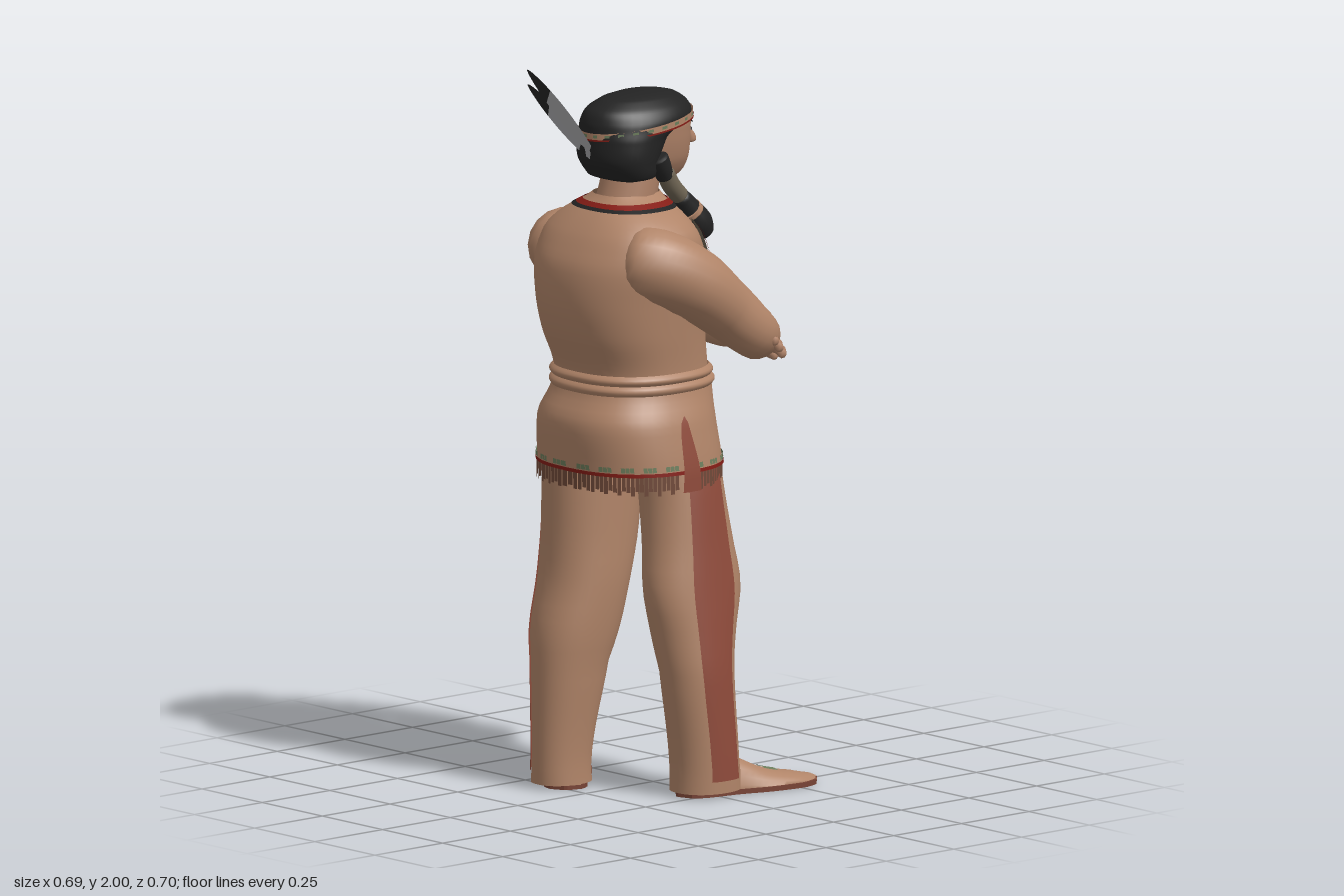
import * as THREE from 'three';
import { mergeVertices, mergeGeometries } from 'three/addons/utils/BufferGeometryUtils.js';

const material = (name, color, double) => {
  const m = new THREE.MeshStandardMaterial({ color });
  m.name = name;
  if (double) m.side = THREE.DoubleSide;
  return m;
};
const M = {
  skin: material('skin', 0xac8066), buckskin: material('buckskin', 0xb08468, true),
  stripe: material('russet stripe', 0x8f4b3b, true), hair: material('black hair', 0x232323, true),
  sole: material('dark sole', 0x784335), red: material('red beads', 0x851d16, true),
  vest: material('olive bone', 0x6e6453, true), green: material('green beads', 0x6c7d5c, true),
  feather: material('feather grey', 0xa2a2a4, true), fringe: material('fringe brown', 0x704a3a, true),
};
const V = (x, y, z) => new THREE.Vector3(x, y, z);
const val = (a, v) => (typeof a === 'function' ? a(v) : a);

// Smooth grid from f(u, v); matching edges are welded
function grid(f, nu, nv) {
  const pos = [], idx = [];
  for (let j = 0; j <= nv; j++) for (let i = 0; i <= nu; i++) pos.push(...f(i / nu, j / nv).toArray());
  for (let j = 0; j < nv; j++) for (let i = 0; i < nu; i++) {
    const a = j * (nu + 1) + i, b = a + nu + 1;
    idx.push(a, b, b + 1, a, b + 1, a + 1);
  }
  let g = new THREE.BufferGeometry();
  g.setAttribute('position', new THREE.Float32BufferAttribute(pos, 3));
  g.setIndex(idx);
  g = mergeVertices(g, 1e-5);
  g.computeVertexNormals();
  return g;
}

// Smooth interpolation of rows by their first number
function sample(rows, y) {
  const n = rows.length - 1;
  let i = 0;
  while (i < n - 1 && y > rows[i + 1][0]) i++;
  const t = THREE.MathUtils.clamp((y - rows[i][0]) / (rows[i + 1][0] - rows[i][0]), 0, 1);
  const [p, a, b, q] = [rows[Math.max(i - 1, 0)], rows[i], rows[i + 1], rows[Math.min(i + 2, n)]];
  return a.map((_, k) => a[k] + 0.5 * t * (b[k] - p[k] + t * (2 * p[k] - 5 * a[k] + 4 * b[k] - q[k] + t * (3 * (a[k] - b[k]) + q[k] - p[k]))));
}

// Upright body surface from rows of [y, x0, x1, z0, z1]
const surface = (rows, e = 1) => (y, a, off = 0) => {
  const [, x0, x1, z0, z1] = sample(rows, y);
  const w = (s) => Math.sign(s) * Math.abs(s) ** e;
  return V((x0 + x1) / 2 + ((x1 - x0) / 2 + off) * w(Math.cos(a)), y, (z0 + z1) / 2 + ((z1 - z0) / 2 + off) * w(Math.sin(a)));
};
function patch(s, y0, y1, a0 = 0, a1 = Math.PI * 2, off = 0, nu = 36, nv = 24) {
  return grid((u, v) => s(y0 + (y1 - y0) * v, THREE.MathUtils.lerp(val(a0, v), val(a1, v), u), val(off, v)), nu, nv);
}

// Rounded tube through points of [x, y, z, radius]
function limb(pts, nu = 14, nv = 30) {
  const curve = new THREE.CatmullRomCurve3(pts.map((p) => V(p[0], p[1], p[2])));
  const radii = pts.map((p, i) => [i / (pts.length - 1), p[3]]);
  return grid((u, v) => {
    const t = curve.getTangent(v), n = V(0, 1, 0).cross(t).normalize(), b = t.clone().cross(n);
    const r = sample(radii, v)[1] * Math.min(1, Math.sqrt(Math.max(0, Math.sin(Math.PI * v)) * 4));
    const a = -u * Math.PI * 2;
    return curve.getPoint(v).addScaledVector(n, r * Math.cos(a)).addScaledVector(b, r * Math.sin(a));
  }, nu, nv);
}

function hand(pos, target, up, side) {
  const g = new THREE.Group();
  const palm = new THREE.Mesh(new THREE.SphereGeometry(1, 16, 12), M.skin);
  palm.scale.set(0.048, 0.027, 0.07);
  palm.position.z = 0.05;
  g.add(palm);
  for (let i = 0; i < 4; i++) {
    const x = -0.036 + i * 0.024, len = 0.08 + 0.02 * Math.sin((i + 0.6) * 0.8);
    g.add(new THREE.Mesh(limb([[x * 0.8, 0, 0.07, 0.014], [x, 0.005, 0.11, 0.015], [x, -0.003, 0.09 + len * 0.7, 0.014], [x * 0.9, -0.02, 0.1 + len, 0.011]], 8, 12), M.skin));
  }
  g.add(new THREE.Mesh(limb([[side * 0.02, -0.005, 0.02, 0.016], [side * 0.05, 0, 0.06, 0.015], [side * 0.055, -0.01, 0.11, 0.01]], 8, 12), M.skin));
  g.position.copy(pos);
  g.scale.setScalar(1.08);
  g.up.copy(up);
  g.lookAt(target);
  return g;
}

function foot(heel, toe) {
  const g = new THREE.Group(), L = heel.distanceTo(toe);
  const rows = [[0, 0.004, 0.04], [0.03, 0.038, 0.08], [0.13, 0.058, 0.11], [0.38, 0.06, 0.1], [0.6, 0.072, 0.058], [0.84, 0.069, 0.036], [0.96, 0.042, 0.024], [1, 0.008, 0.016]];
  const top = (z, a, off = 0) => {
    const [, w, h] = sample(rows, z);
    return V((w + off) * Math.cos(a), Math.max(0.012, (h + off) * Math.sin(a)), z * L);
  };
  g.add(new THREE.Mesh(grid((u, v) => top(v, -u * Math.PI * 2), 24, 24), M.buckskin));
  g.add(new THREE.Mesh(grid((u, v) => top(0.6 + 0.1 * v, 1.9 - 0.66 * u, 0.003), 6, 6), M.green));
  const outline = [];
  for (let i = 0; i <= 20; i++) outline.push(new THREE.Vector2(sample(rows, i / 20)[1] + 0.001, i / 20 * L));
  const mirrored = outline.map((p) => new THREE.Vector2(-p.x, p.y)).reverse();
  const sole = new THREE.ExtrudeGeometry(new THREE.Shape([...outline, ...mirrored]), { depth: 0.014, bevelEnabled: false });
  sole.rotateX(Math.PI / 2).translate(0, 0.014, 0);
  g.add(new THREE.Mesh(sole, M.sole));
  g.position.copy(heel);
  g.lookAt(toe);
  return g;
}

export function createModel() {
  const model = new THREE.Group();
  const add = (name, geo, mat) => {
    const m = geo.isObject3D ? geo : new THREE.Mesh(geo, mat);
    m.name = name;
    model.add(m);
    return m;
  };
  const H = Math.PI / 2;

  // Legs with side stripes, and feet
  const rightLeg = surface([[0.015, -0.105, 0.1, 0.13, 0.31], [0.1, -0.105, 0.09, 0.13, 0.31], [0.35, -0.135, 0.08, 0.12, 0.305], [0.45, -0.15, 0.1, 0.095, 0.295], [0.58, -0.17, 0.135, 0.08, 0.28], [0.7, -0.155, 0.12, 0.06, 0.265], [0.87, -0.14, 0.1, 0.025, 0.245], [1.02, -0.14, 0.1, 0, 0.22]], 0.92);
  const leftLeg = surface([[0.015, -0.315, -0.14, -0.2, -0.05], [0.1, -0.315, -0.14, -0.195, -0.05], [0.35, -0.315, -0.09, -0.212, -0.025], [0.45, -0.31, -0.05, -0.23, -0.01], [0.58, -0.28, -0.02, -0.238, 0], [0.7, -0.27, 0.01, -0.238, 0], [0.87, -0.27, 0.03, -0.235, 0], [1.02, -0.27, 0.04, -0.22, 0]], 0.92);
  add('rightLeg', patch(rightLeg, 0.015, 1.02), M.buckskin);
  add('leftLeg', patch(leftLeg, 0.015, 1.02), M.buckskin);
  add('rightLegStripe', patch(rightLeg, 0.05, 1, 1.1, 2.02, 0.004, 10), M.stripe);
  add('leftLegStripe', patch(leftLeg, 0.05, 1, (v) => -2.75 + 0.7 * v, (v) => -1.8 + 0.7 * v, 0.004, 10), M.stripe);
  add('rightFoot', foot(V(-0.09, 0, 0.2), V(0.345, 0, 0.285)));
  add('leftFoot', foot(V(-0.26, 0, -0.07), V(-0.025, 0, -0.34)));

  // Tunic: torso, skirt, side slits, hem and fringe
  const torso = surface([[1.14, -0.28, 0.125, -0.205, 0.205], [1.2, -0.285, 0.115, -0.205, 0.205], [1.3, -0.325, 0.105, -0.215, 0.215], [1.4, -0.345, 0.11, -0.225, 0.225], [1.5, -0.337, 0.095, -0.235, 0.235], [1.58, -0.295, 0.06, -0.225, 0.225], [1.63, -0.25, 0.025, -0.165, 0.17], [1.68, -0.195, -0.01, -0.08, 0.085]], 0.85);
  add('torso', patch(torso, 1.14, 1.68, 0, H * 4, 0, 48, 30), M.buckskin);
  const skirt = surface([[0.92, -0.322, 0.14, -0.252, 0.262], [1.06, -0.33, 0.128, -0.235, 0.24], [1.14, -0.292, 0.13, -0.207, 0.21], [1.19, -0.285, 0.12, -0.205, 0.205]], 0.85);
  add('skirt', patch(skirt, 0.925, 1.18, 0, H * 4, 0, 48, 12), M.buckskin);
  for (const s of [-1, 1]) {
    add('sideSlit', patch(skirt, 0.87, 1.08, (v) => s * H - 0.1 * Math.sqrt(1 - v), (v) => s * H + 0.1 * Math.sqrt(1 - v), 0.006, 4, 12), M.stripe);
  }
  add('hemBeads', patch(skirt, 0.921, 0.931, 0, H * 4, 0.004, 48, 1), M.red);
  const beads = [], strands = [];
  for (let i = 0; i < 110; i++) {
    const a = (i / 110) * H * 4;
    if (Math.abs(Math.sin(a)) > 0.994) continue;
    if (i % 5 < 3) beads.push(patch(skirt, 0.934, 0.948, a, a + 0.05, 0.004, 1, 1));
    strands.push(patch(skirt, 0.867 + 0.016 * Math.abs(Math.sin(i * 7.3)), 0.926, a, a + 0.047, 0.001, 1, 1));
  }
  add('hemPattern', mergeGeometries(beads), M.green);
  add('hemFringe', mergeGeometries(strands), M.fringe);

  // Sash: two rolls and a hanging end
  for (const y of [1.138, 1.164]) add('sash', patch(skirt, y, y + 0.03, 0, H * 4, (v) => 0.011 * Math.sin(v * Math.PI), 48, 6), M.buckskin);
  add('sashEnd', patch(skirt, 0.88, 1.17, -0.86, -0.6, (v) => 0.012 + 0.012 * Math.sin(v * 3), 8, 8), M.buckskin);
  add('sashEndBack', patch(skirt, 0.93, 1.17, -1.02, -0.8, 0.008, 6, 8), M.buckskin);

  // Breastplate with red edging and central lacing
  add('breastplate', patch(torso, 1.34, 1.6, -0.72, 0.72, 0.008, 24, 10), M.vest);
  for (const a of [-0.68, -0.14, 0.1, 0.64]) add('breastplateEdging', patch(torso, 1.34, 1.59, a, a + 0.04, 0.012, 2, 10), M.red);
  for (let i = 0; i < 10; i++) add('lacing', patch(torso, 1.36 + i * 0.022, 1.37 + i * 0.022, -0.09, 0.09, 0.012, 4, 1), M.feather);
  for (const a of [-0.58, -0.48, -0.38, -0.28, 0.26, 0.36, 0.46, 0.56]) add('breastplateSeam', patch(torso, 1.34, 1.59, a, a + 0.02, 0.011, 1, 10), M.fringe);

  // Folded arms
  add('rightArm', limb([[-0.22, 1.52, 0.1, 0.095], [-0.16, 1.505, 0.175, 0.107], [-0.06, 1.45, 0.225, 0.1], [0.05, 1.365, 0.24, 0.086], [0.165, 1.275, 0.24, 0.07], [0.2, 1.29, 0.14, 0.062], [0.185, 1.34, 0.01, 0.054], [0.15, 1.4, -0.12, 0.042]], 18, 54), M.buckskin);
  add('leftArm', limb([[-0.22, 1.52, -0.1, 0.095], [-0.16, 1.505, -0.18, 0.107], [-0.06, 1.45, -0.22, 0.1], [0.03, 1.39, -0.23, 0.084], [0.115, 1.33, -0.235, 0.07], [0.175, 1.295, -0.14, 0.062], [0.215, 1.265, 0, 0.057], [0.235, 1.245, 0.13, 0.05]], 18, 54), M.buckskin);
  add('rightHand', hand(V(0.15, 1.405, -0.105), V(0.085, 1.455, -0.3), V(0.5, 1, 0), 1));
  add('leftHand', hand(V(0.235, 1.245, 0.12), V(0.19, 1.265, 0.32), V(1, 0.7, 0), 1));

  // Neck and necklace
  add('neck', limb([[-0.13, 1.58, 0.005, 0.085], [-0.1, 1.68, 0.007, 0.083], [-0.07, 1.8, 0.008, 0.08]], 18, 16), M.skin);
  add('necklace', patch(torso, 1.651, 1.662, 0, H * 4, 0.005, 36, 2), M.red);
  add('necklaceCord', patch(torso, 1.643, 1.651, 0, H * 4, 0.004, 36, 2), M.hair);

  // Head and face
  const head = surface([[1.69, -0.1, 0.01, -0.01, 0.026], [1.7, -0.13, 0.055, -0.035, 0.051], [1.725, -0.15, 0.088, -0.055, 0.071], [1.76, -0.17, 0.1, -0.075, 0.091], [1.8, -0.18, 0.103, -0.085, 0.101], [1.84, -0.19, 0.103, -0.09, 0.106], [1.88, -0.2, 0.1, -0.09, 0.106], [1.93, -0.18, 0.05, -0.07, 0.086]], 0.92);
  add('head', patch(head, 1.69, 1.93), M.skin);
  add('nose', limb([[0.088, 1.862, 0.008, 0.009], [0.108, 1.83, 0.008, 0.013], [0.127, 1.8, 0.008, 0.018], [0.129, 1.787, 0.008, 0.016]], 12, 16), M.skin);
  for (const s of [-1, 1]) {
    const span = (y0, y1, c, w, off, mat, name) => add(name, patch(head, y0, y1, (v) => s * c - w * Math.sin(0.3 + v * 2.5), (v) => s * c + w * Math.sin(0.3 + v * 2.5), off, 8, 4), mat);
    span(1.831, 1.842, 0.42, 0.11, 0.003, M.feather, 'eye');
    span(1.831, 1.843, 0.42, 0.05, 0.004, M.hair, 'pupil');
    span(1.855, 1.86, 0.43, 0.16, 0.004, M.hair, 'eyebrow');
  }
  add('mouth', patch(head, 1.749, 1.758, (v) => -0.25 * Math.sin(0.3 + v * 2.5), (v) => 0.25 * Math.sin(0.3 + v * 2.5), 0.004, 8, 4), M.stripe);

  // Hair, headband and braids
  const hair = surface([[1.715, -0.16, -0.09, -0.05, 0.066], [1.73, -0.205, -0.045, -0.1, 0.116], [1.78, -0.24, -0.03, -0.115, 0.131], [1.84, -0.246, 0.005, -0.118, 0.134], [1.865, -0.245, 0.05, -0.118, 0.134], [1.89, -0.243, 0.1, -0.117, 0.133], [1.92, -0.228, 0.094, -0.1, 0.116], [1.945, -0.185, 0.06, -0.068, 0.084], [1.957, -0.13, 0.01, -0.035, 0.05], [1.961, -0.06, -0.06, 0.008, 0.008]]);
  add('hair', patch(hair, 1.715, 1.961, 0, H * 4, 0, 40, 48), M.hair);
  const level = surface([[1.84, -0.246, 0.104, -0.119, 0.135], [1.9, -0.246, 0.104, -0.119, 0.135]]);
  const band = (y, a, off) => level(y, a, off).add(V(0, 0.021 * Math.cos(a), 0));
  add('headband', patch(band, 1.862, 1.884, 0, H * 4, 0.003, 40, 1), M.buckskin);
  add('headbandLine', patch(band, 1.862, 1.867, 0, H * 4, 0.005, 40, 1), M.red);
  for (let i = 0; i < 24; i++) add('headbandBead', patch(band, 1.872, 1.88, i * 0.2618, i * 0.2618 + 0.1, 0.005, 2, 1), M.green);
  for (const s of [-1, 1]) {
    const z = (d) => 0.01 + s * d;
    add('braidRoot', limb([[-0.08, 1.79, z(0.095), 0.03], [-0.06, 1.755, z(0.093), 0.028], [-0.04, 1.72, z(0.088), 0.024]]), M.hair);
    add('braidWrap', limb([[-0.048, 1.745, z(0.09), 0.025], [-0.02, 1.7, z(0.086), 0.026], [0.025, 1.655, z(0.08), 0.026]]), M.vest);
    add('braid', limb([[0.01, 1.67, z(0.082), 0.025], [0.05, 1.625, z(0.078), 0.034], [0.085, 1.58, z(0.076), 0.043], [0.115, 1.535, z(0.074), 0.032]]), M.hair);
    add('braidTie', limb([[0.05, 1.622, z(0.078), 0.037], [0.057, 1.614, z(0.078), 0.038], [0.063, 1.606, z(0.078), 0.039]], 14, 8), M.buckskin);
  }

  // Two feathers with dark tips, fixed at the back of the head
  for (const [tip, y] of [[V(-0.24, 2, -0.255), 1.82], [V(-0.18, 1.94, -0.32), 1.8]]) {
    const base = V(-0.25, y, 0.02), side = tip.clone().sub(base).cross(V(1, 0, 0)).normalize();
    side.x += 0.2;
    const blade = (t0, t1) => grid((u, v) => {
      const t = t0 + (t1 - t0) * v;
      return base.clone().lerp(tip, t).addScaledVector(side, (u - 0.5) * 0.052 * Math.sin(Math.PI * (0.08 + 0.92 * t)) ** 0.6);
    }, 2, 12);
    add('feather', blade(0, 0.66), M.feather);
    add('featherTip', blade(0.66, 0.999), M.hair);
  }
  return model;
}
